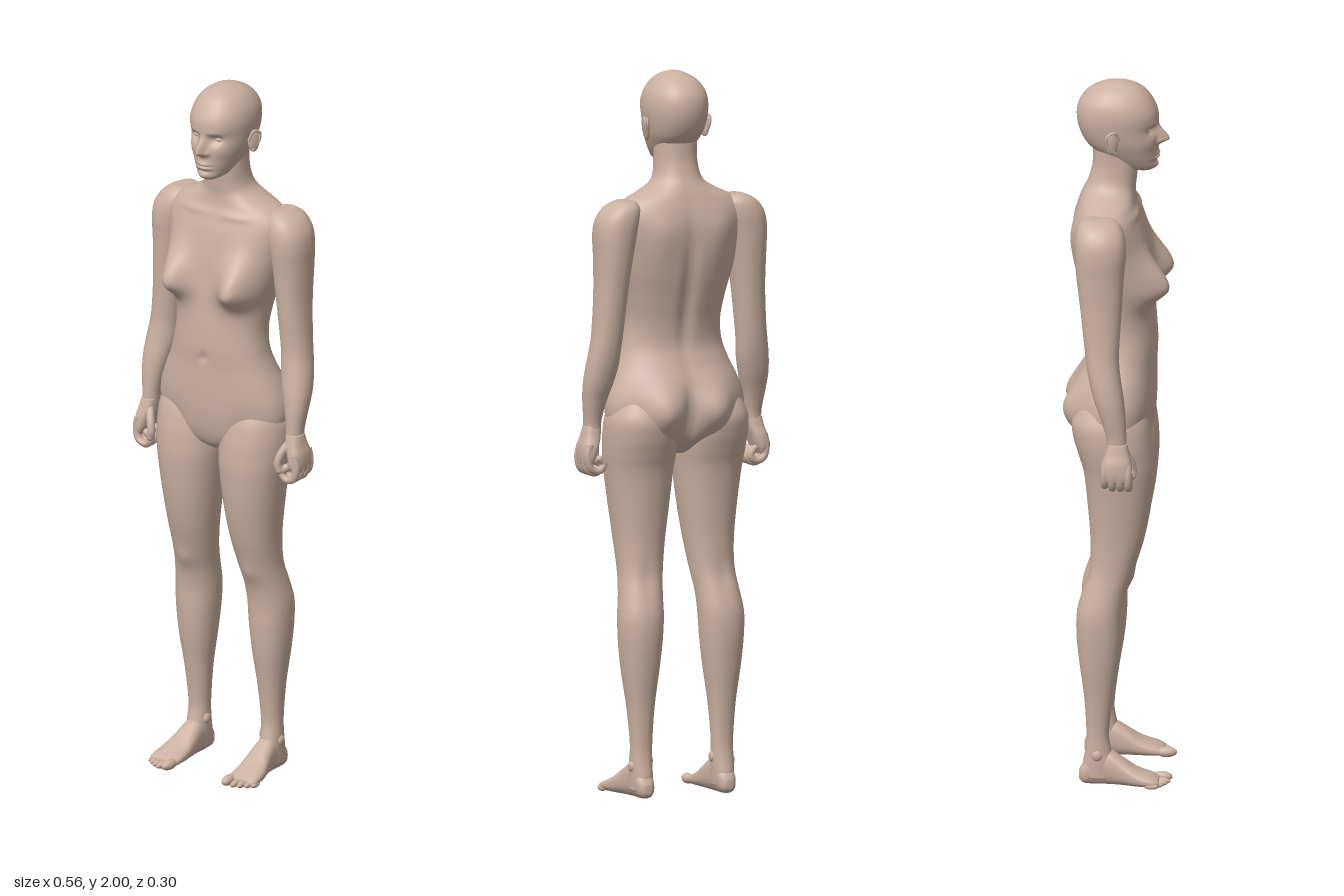
import * as THREE from 'three';

const skin = new THREE.MeshStandardMaterial({ color: 0xcbb0a0 });
skin.name = 'skin';

const cubic = (p0, p1, p2, p3, t) =>
  0.5 * (2 * p1 + (p2 - p0) * t + (2 * p0 - 5 * p1 + 4 * p2 - p3) * t * t + (3 * p1 - p0 - 3 * p2 + p3) * t * t * t);

// Soft swelling or dent. bump: [side (+1 front, -1 back), x, y, width, reach up, reach down, amount]
function swell(bumps, x, y, s) {
  let dz = 0;
  for (const [side, bx, by, w, up, down, amount] of bumps) {
    const facing = Math.sqrt(Math.max(0, s * side));
    const dx = (Math.abs(x) - bx) / w, dy = (y - by) / (y > by ? up : down);
    dz += side * amount * facing * Math.exp(-dx * dx - dy * dy);
  }
  return dz;
}

// Smooth skin through rounded sections: [t, a min, a max, b min, b max].
// Upright parts use t = y, a = x, b = z; lying parts use t = z, a = x, b = y.
function loft(sections, { bumps = [], segments = 48, steps = 5, power = 2.2, lying = false } = {}) {
  const rings = [], last = sections.length - 1;
  for (let i = 0; i < last; i++) {
    const q = [-1, 0, 1, 2].map(k => sections[Math.min(last, Math.max(0, i + k))]);
    for (let k = 0; k < steps; k++) rings.push(q[1].map((_, c) => cubic(q[0][c], q[1][c], q[2][c], q[3][c], k / steps)));
  }
  rings.push(sections[last]);
  const pos = [], index = [];
  const put = (t, a, b) => (lying ? pos.push(a, b, t) : pos.push(a, t, b));
  const bend = v => Math.sign(v) * Math.abs(v) ** (2 / power);
  for (const [t, a0, a1, b0, b1] of rings) {
    for (let j = 0; j < segments; j++) {
      const th = (j / segments) * Math.PI * 2, s = Math.sin(th);
      const a = (a0 + a1) / 2 + ((a1 - a0) / 2) * bend(Math.cos(th));
      const b = (b0 + b1) / 2 + ((b1 - b0) / 2) * bend(s);
      put(t, a, b + swell(bumps, a, t, s));
    }
  }
  const centre = r => put(r[0], (r[1] + r[2]) / 2, (r[3] + r[4]) / 2);
  centre(rings[0]);
  centre(rings[rings.length - 1]);
  const n = rings.length * segments, top = n - segments;
  for (let j = 0; j < segments; j++) {
    const k = (j + 1) % segments;
    for (let o = 0; o < top; o += segments)
      index.push(o + j, o + segments + j, o + k, o + k, o + segments + j, o + segments + k);
    index.push(n, j, k, n + 1, top + k, top + j);
  }
  const g = new THREE.BufferGeometry();
  g.setAttribute('position', new THREE.Float32BufferAttribute(pos, 3));
  g.setIndex(index);
  g.computeVertexNormals();
  return g;
}

// Symmetric section from half width, back and front
const even = rows => rows.map(([y, w, back, front]) => [y, -w, w, back, front]);

function ellipsoid(x, y, z, rx, ry, rz, turn = 0) {
  return new THREE.SphereGeometry(1, 20, 14).scale(rx, ry, rz).rotateY(turn).translate(x, y, z);
}

function mirrored(geometry) {
  const g = geometry.clone().scale(-1, 1, 1);
  const ix = g.index.array;
  for (let i = 0; i < ix.length; i += 3) [ix[i], ix[i + 1]] = [ix[i + 1], ix[i]];
  g.computeVertexNormals();
  return g;
}

export function createModel() {
  const model = new THREE.Group();
  model.name = 'standingFigure';
  const add = (name, geometry) => {
    const mesh = new THREE.Mesh(geometry, skin);
    mesh.name = name;
    model.add(mesh);
  };
  const pair = (name, geometry) => {
    add(name + 'Left', geometry);
    add(name + 'Right', mirrored(geometry));
  };

  // Torso and neck
  add('torso', loft(even([
    [0.945, 0.02, -0.05, 0.045], [0.965, 0.09, -0.075, 0.072], [1.0, 0.178, -0.1, 0.088],
    [1.05, 0.2, -0.112, 0.097], [1.1, 0.2, -0.115, 0.1], [1.15, 0.183, -0.108, 0.101],
    [1.2, 0.16, -0.092, 0.101], [1.25, 0.144, -0.08, 0.103], [1.31, 0.137, -0.086, 0.1],
    [1.38, 0.146, -0.103, 0.094], [1.45, 0.162, -0.119, 0.086], [1.52, 0.176, -0.128, 0.08],
    [1.58, 0.188, -0.13, 0.07], [1.62, 0.186, -0.124, 0.058], [1.652, 0.158, -0.115, 0.046],
    [1.675, 0.112, -0.107, 0.042], [1.695, 0.078, -0.098, 0.042], [1.72, 0.063, -0.087, 0.045],
    [1.76, 0.058, -0.077, 0.048], [1.81, 0.058, -0.075, 0.045],
  ]), {
    segments: 96, steps: 6,
    bumps: [
      [1, 0.112, 1.432, 0.056, 0.085, 0.045, 0.084],  // breasts
      [1, 0.118, 1.437, 0.008, 0.008, 0.008, 0.005],
      [-1, 0.08, 1.065, 0.062, 0.08, 0.07, 0.047],    // buttocks
      [-1, 0, 1.05, 0.014, 0.07, 0.08, -0.016],
      [-1, 0, 1.38, 0.02, 0.2, 0.14, -0.014],         // spine
      [-1, 0.09, 1.56, 0.045, 0.06, 0.09, 0.011],     // shoulder blades
      [1, 0, 1.225, 0.01, 0.014, 0.012, -0.009],      // navel
      [1, 0.07, 1.635, 0.05, 0.01, 0.01, 0.005],      // collarbones
      [1, 0.12, 1.02, 0.04, 0.05, 0.04, -0.008],      // groin
    ],
  }));

  // Head with modelled face
  add('head', loft(even([
    [1.745, 0.018, 0.035, 0.086], [1.755, 0.036, 0.0, 0.097], [1.775, 0.05, -0.035, 0.1],
    [1.8, 0.063, -0.068, 0.102], [1.83, 0.075, -0.097, 0.103], [1.87, 0.083, -0.115, 0.1],
    [1.91, 0.086, -0.12, 0.104], [1.945, 0.079, -0.111, 0.09], [1.975, 0.059, -0.085, 0.066],
    [1.993, 0.031, -0.048, 0.033], [2.0, 0.008, -0.015, 0.006],
  ]), {
    segments: 128, steps: 12,
    bumps: [
      [1, 0, 1.833, 0.011, 0.034, 0.012, 0.032],      // nose
      [1, 0.016, 1.828, 0.007, 0.009, 0.007, 0.007],
      [1, 0.034, 1.867, 0.017, 0.012, 0.013, -0.015], // eye sockets
      [1, 0.032, 1.887, 0.024, 0.01, 0.007, 0.004],   // brows
      [1, 0.05, 1.835, 0.02, 0.02, 0.02, 0.004],      // cheeks
      [1, 0, 1.788, 0.021, 0.013, 0.012, 0.01],       // lips
      [1, 0, 1.789, 0.022, 0.003, 0.003, -0.008],
      [1, 0, 1.774, 0.022, 0.005, 0.005, -0.004],
      [1, 0, 1.76, 0.02, 0.01, 0.01, 0.006],          // chin
    ],
  }));
  pair('eye', ellipsoid(0.034, 1.867, 0.071, 0.015, 0.0095, 0.012));
  pair('ear', ellipsoid(0.086, 1.845, -0.018, 0.007, 0.032, 0.018, -0.45));
  const rim = new THREE.CatmullRomCurve3([[0.082, 1.85, 0.0], [0.091, 1.876, -0.01], [0.098, 1.868, -0.03],
    [0.094, 1.84, -0.03], [0.086, 1.818, -0.012]].map(p => new THREE.Vector3(...p)));
  pair('earRim', new THREE.TubeGeometry(rim, 20, 0.004, 8));

  // Arms, wrist to shoulder
  pair('arm', loft([
    [0.99, 0.222, 0.268, -0.02, 0.034], [1.02, 0.219, 0.265, -0.021, 0.032], [1.05, 0.217, 0.266, -0.025, 0.031],
    [1.1, 0.207, 0.272, -0.04, 0.029], [1.15, 0.193, 0.275, -0.058, 0.024], [1.2, 0.182, 0.271, -0.071, 0.016],
    [1.25, 0.178, 0.263, -0.08, 0.01], [1.3, 0.173, 0.257, -0.086, 0.01], [1.4, 0.163, 0.251, -0.097, 0.016],
    [1.5, 0.15, 0.252, -0.109, 0.022], [1.56, 0.138, 0.254, -0.113, 0.027], [1.605, 0.128, 0.246, -0.113, 0.024],
    [1.638, 0.128, 0.222, -0.105, 0.01], [1.655, 0.142, 0.19, -0.085, -0.015],
  ]));

  // Half-closed hands
  pair('palm', loft([
    [0.925, 0.25, 0.276, -0.032, 0.042], [0.945, 0.24, 0.28, -0.038, 0.048], [0.975, 0.23, 0.279, -0.036, 0.046],
    [1.0, 0.222, 0.272, -0.027, 0.04], [1.03, 0.22, 0.265, -0.02, 0.032],
  ], { segments: 32, power: 2.6 }));
  const digit = (name, points, r) => {
    const path = new THREE.CatmullRomCurve3(points.map(p => new THREE.Vector3(...p)));
    pair(name, new THREE.TubeGeometry(path, 20, r, 10));
    const tip = points[points.length - 1];
    pair(name + 'Tip', ellipsoid(...tip, r, r, r));
  };
  [0.037, 0.015, -0.007, -0.028].forEach((z, i) => {
    digit('finger' + (i + 1), [[0.262, 0.975], [0.269, 0.942], [0.26, 0.909], [0.236, 0.901], [0.221, 0.919], [0.234, 0.935]]
      .map(([x, y]) => [x, y + (i === 3 ? 0.006 : 0), z]), i === 3 ? 0.0098 : 0.0112);
  });
  digit('thumb', [[0.234, 1.005, 0.022], [0.219, 0.972, 0.041], [0.213, 0.945, 0.047], [0.217, 0.928, 0.045]], 0.0115);

  // Legs, ankle to hip
  pair('leg', loft([
    [0.02, 0.094, 0.152, -0.098, -0.005], [0.06, 0.092, 0.153, -0.096, -0.008], [0.1, 0.092, 0.153, -0.089, -0.018],
    [0.15, 0.092, 0.152, -0.086, -0.024], [0.25, 0.085, 0.16, -0.092, -0.012], [0.35, 0.072, 0.174, -0.105, 0.004],
    [0.43, 0.063, 0.182, -0.113, 0.011], [0.5, 0.058, 0.184, -0.112, 0.013], [0.56, 0.055, 0.176, -0.097, 0.024],
    [0.62, 0.047, 0.17, -0.08, 0.044], [0.7, 0.036, 0.173, -0.076, 0.07], [0.8, 0.022, 0.184, -0.083, 0.09],
    [0.9, 0.01, 0.197, -0.094, 0.1], [0.95, 0.005, 0.203, -0.108, 0.099], [1.0, 0.004, 0.206, -0.122, 0.094],
    [1.05, 0.012, 0.202, -0.126, 0.083], [1.1, 0.04, 0.18, -0.1, 0.06],
  ], { bumps: [[1, 0.11, 0.595, 0.026, 0.03, 0.03, 0.007], [-1, 0.115, 0.6, 0.02, 0.05, 0.04, -0.005]] }));
  pair('innerAnkle', ellipsoid(0.096, 0.1, -0.05, 0.01, 0.016, 0.015));
  pair('outerAnkle', ellipsoid(0.149, 0.088, -0.055, 0.01, 0.016, 0.015));

  // Feet, toes to heel
  pair('foot', loft([
    [0.114, 0.094, 0.168, 0.005, 0.022], [0.095, 0.086, 0.178, 0.001, 0.032], [0.05, 0.085, 0.173, 0, 0.05],
    [0.01, 0.088, 0.161, 0, 0.078], [-0.03, 0.092, 0.153, 0, 0.1], [-0.07, 0.095, 0.15, 0, 0.085],
    [-0.094, 0.1, 0.146, 0.003, 0.06], [-0.106, 0.113, 0.133, 0.014, 0.04],
  ], { lying: true, power: 2.4 }));
  [[0.1, 0.12, 0.0145, 0.029], [0.123, 0.119, 0.0095, 0.026], [0.141, 0.113, 0.009, 0.024],
    [0.157, 0.104, 0.0088, 0.022], [0.171, 0.094, 0.0085, 0.02]].forEach(([x, z, r, length], i) =>
    pair('toe' + (i + 1), ellipsoid(x, r + 0.001, z, r, r, length, 0.08)));

  return model;
}
